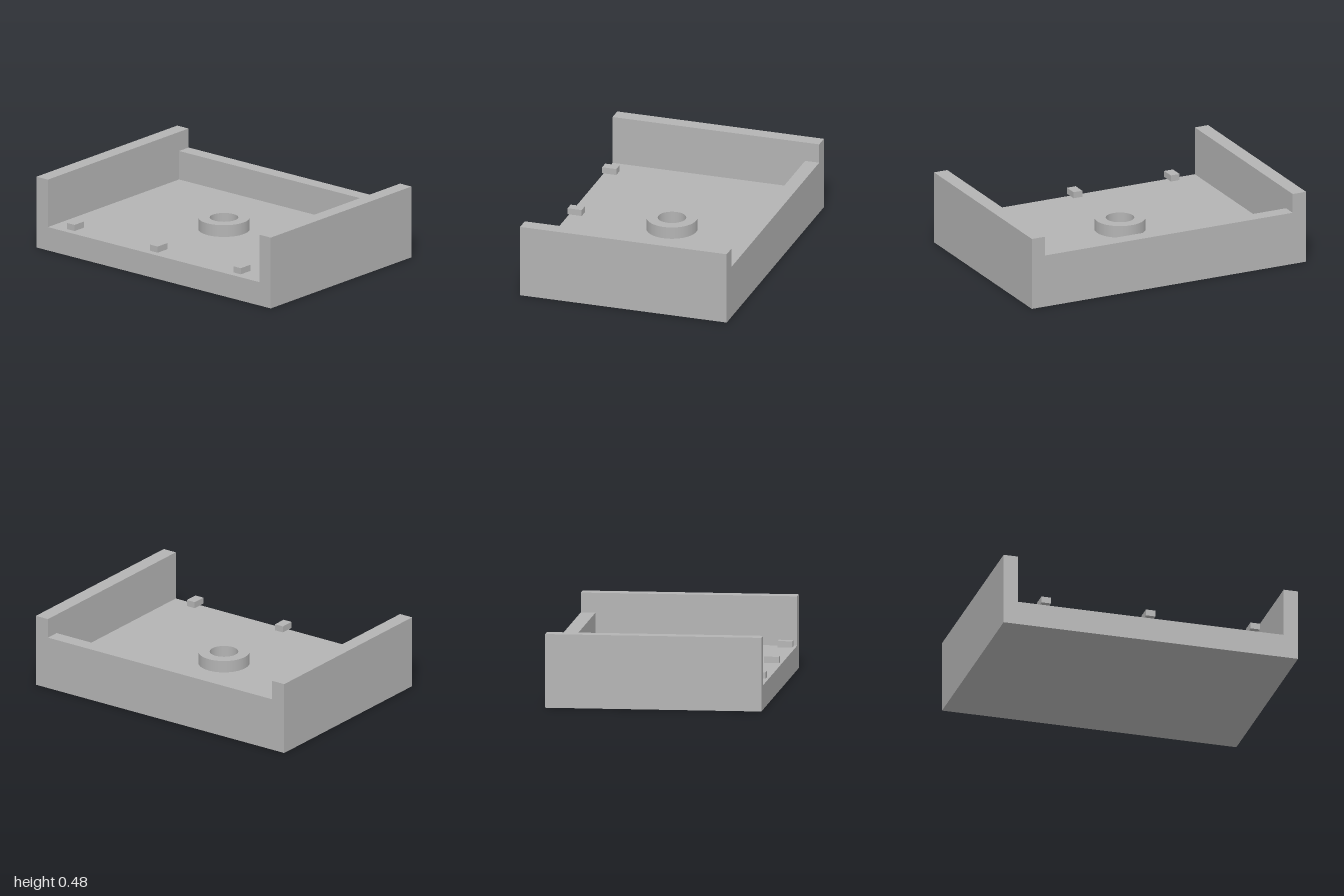
import * as THREE from 'three';

export function createModel() {
  const group = new THREE.Group();
  const grey = new THREE.MeshStandardMaterial({ color: 0xb3b3b3 });
  grey.name = 'plain grey';

  const W = 2, D = 1.42, FLOOR = 0.16, WALL = 0.097;

  const add = (name, geometry, x, y, z) => {
    const mesh = new THREE.Mesh(geometry, grey);
    mesh.name = name;
    mesh.position.set(x, y, z);
    group.add(mesh);
  };
  // Box given by its size and the height of its underside
  const box = (name, w, h, d, x, bottom, z) =>
    add(name, new THREE.BoxGeometry(w, h, d), x, bottom + h / 2, z);

  // Solid base slab
  box('base', W, FLOOR, D, 0, 0, 0);

  // Tall side walls
  for (const [name, s] of [['leftWall', 1], ['rightWall', -1]]) {
    box(name, WALL, 0.485 - FLOOR, D, s * (W - WALL) / 2, FLOOR, 0);
  }

  // Lower back wall between the sides
  box('backWall', W - 2 * WALL, 0.355 - FLOOR, WALL, 0, FLOOR, -(D - WALL) / 2);

  // Raised ring in the middle of the floor
  const ring = new THREE.Shape().absarc(0, 0, 0.167, 0, Math.PI * 2);
  ring.holes.push(new THREE.Path().absarc(0, 0, 0.093, 0, Math.PI * 2, true));
  const ringGeometry = new THREE.ExtrudeGeometry(ring, {
    depth: 0.08, bevelEnabled: false, curveSegments: 64,
  });
  ringGeometry.rotateX(-Math.PI / 2);
  add('centreRing', ringGeometry, 0, FLOOR, 0);

  // Small pegs just above the floor along the open front
  for (const x of [-0.71, 0, 0.71]) {
    box('frontPeg', 0.064, 0.042, 0.097, x, 0.179, 0.658);
  }

  return group;
}
